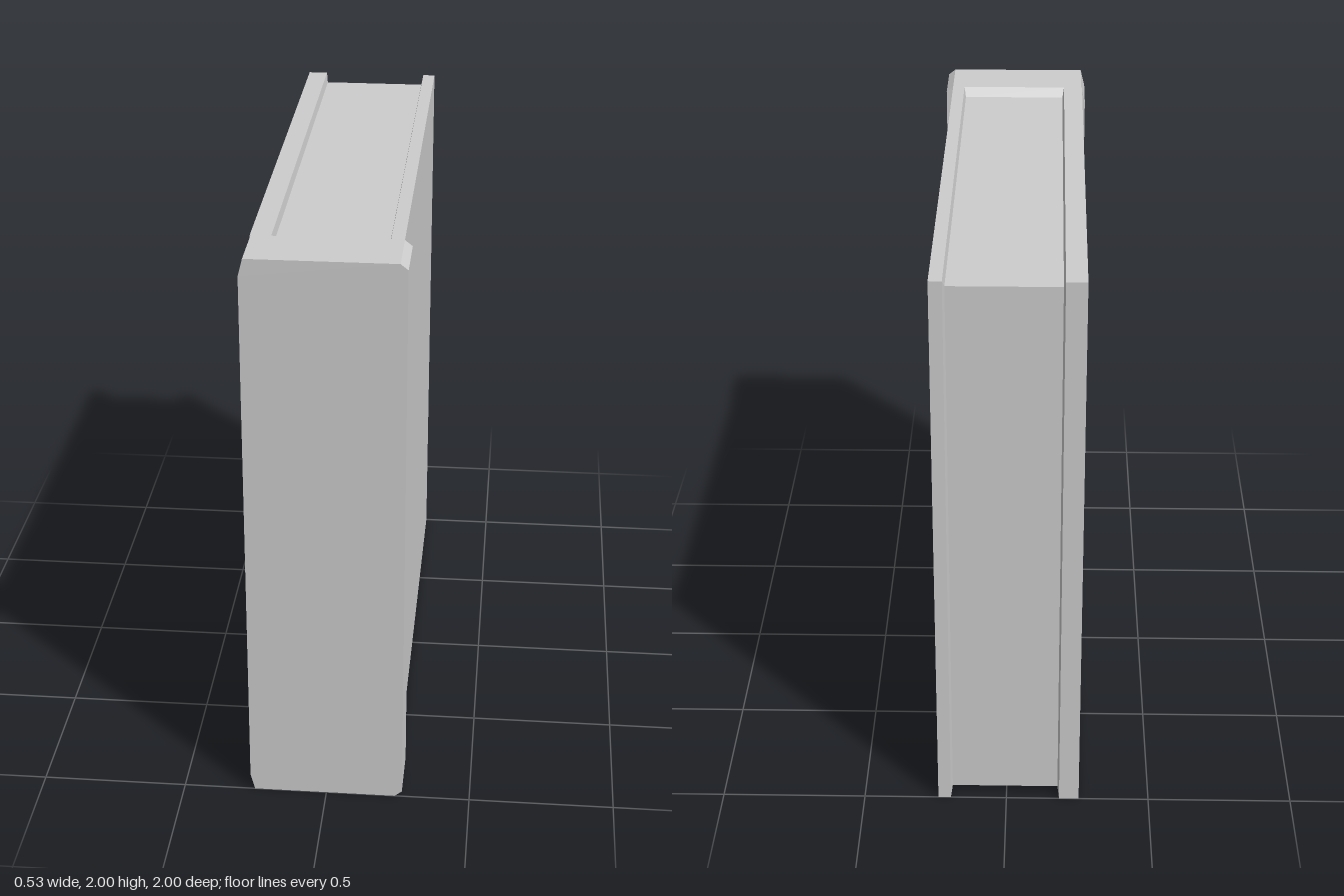
import * as THREE from 'three';

const H = 2;          // full height
const BACK = -1;      // open edge of the covers
const SPINE = 0.795;  // where the spine begins
const INSET = 0.03;   // how far the pages sit back from the covers

export function createModel() {
  const model = new THREE.Group();
  const grey = new THREE.MeshStandardMaterial({ color: 0xcccccc });

  function add(name, geometry) {
    const mesh = new THREE.Mesh(geometry, grey);
    mesh.name = name;
    model.add(mesh);
  }

  // Box given by its limits; an optional rule moves each corner.
  function block([x0, x1], [y0, y1], [z0, z1], rule) {
    const g = new THREE.BoxGeometry(x1 - x0, y1 - y0, z1 - z0);
    g.translate((x0 + x1) / 2, (y0 + y1) / 2, (z0 + z1) / 2);
    if (rule) {
      const p = g.attributes.position;
      const v = new THREE.Vector3();
      for (let i = 0; i < p.count; i++) {
        rule(v.fromBufferAttribute(p, i));
        p.setXYZ(i, v.x, v.y, v.z);
      }
      g.computeVertexNormals();
    }
    return g;
  }
  const insetY = (v) => { v.y += v.y > H / 2 ? -INSET : INSET; };

  // Spine: outline with bevelled side edges, extruded forwards
  const outline = new THREE.Shape([
    [-0.252, 0], [0.24, 0], [0.265, 0.02], [0.265, H - 0.02],
    [0.24, H], [-0.252, H], [-0.267, H - 0.06], [-0.267, 0.06],
  ].map(([x, y]) => new THREE.Vector2(x, y)));
  const spine = new THREE.ExtrudeGeometry(outline, { depth: 1 - SPINE, bevelEnabled: false });
  spine.translate(0, 0, SPINE);
  add('spine', spine);

  // Covers, each with a thin inner lining that narrows towards the pages
  const covers = [
    { name: 'rightCover', outer: -0.255, inner: -0.186, page: -0.18 },
    { name: 'leftCover', outer: 0.24, inner: 0.196, page: 0.19 },
  ];
  for (const { name, outer, inner, page } of covers) {
    const sorted = (a, b) => [Math.min(a, b), Math.max(a, b)];
    add(name, block(sorted(outer, inner), [0, H], [BACK, SPINE]));
    add(name + 'Lining', block(sorted(inner, page), [0, H], [BACK, SPINE], (v) => {
      if (Math.abs(v.x - page) > 0.001) return;
      insetY(v);
      if (v.z < 0) v.z += INSET;
    }));
  }

  // Sloped binding between the spine and the pages
  add('binding', block([-0.186, 0.196], [0, H], [SPINE - INSET, SPINE], (v) => {
    if (v.z < SPINE - 0.01) insetY(v);
  }));

  // Page block, recessed on three sides
  add('pages', block([-0.18, 0.19], [INSET, H - INSET], [BACK + INSET, SPINE - INSET]));

  return model;
}
